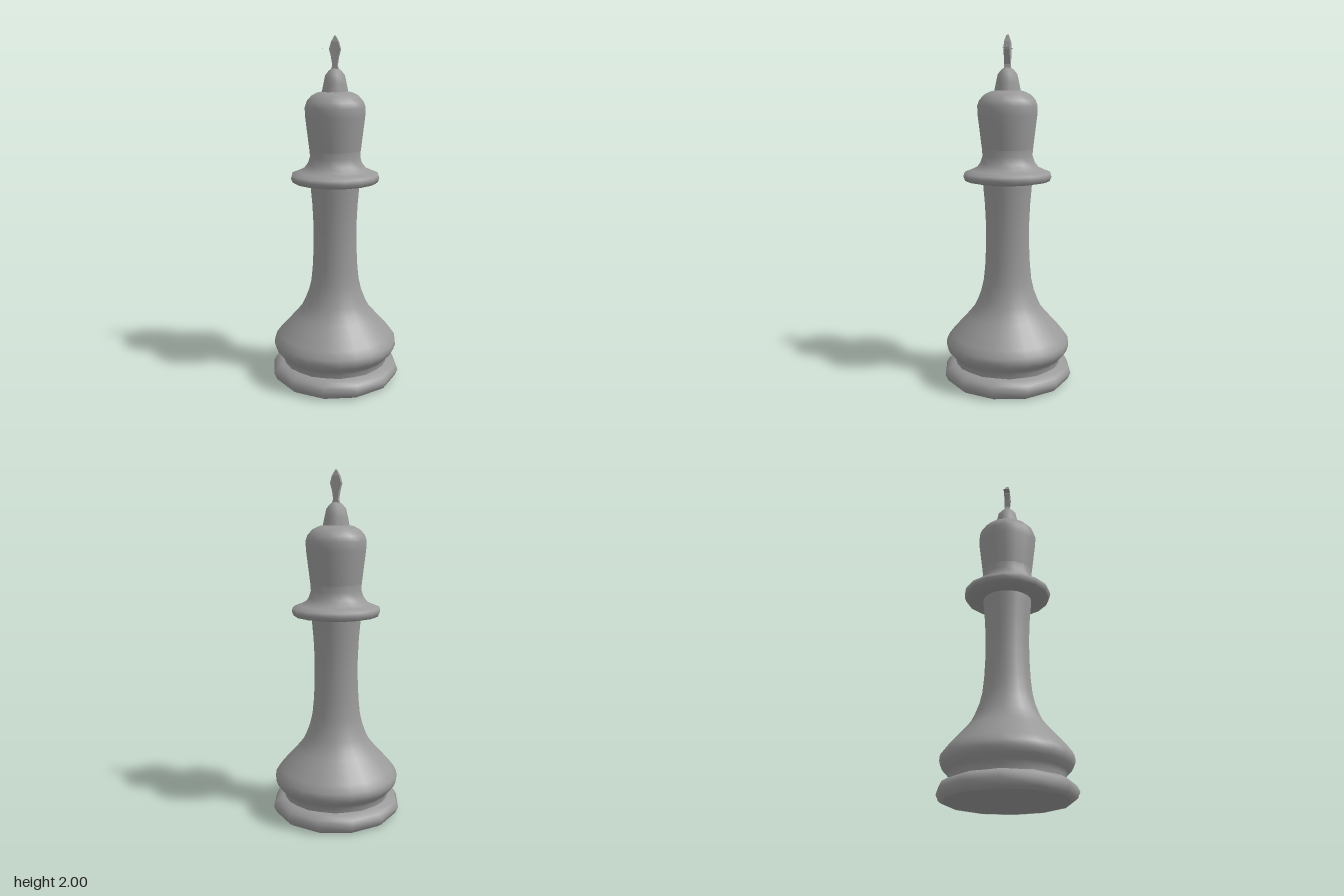
import * as THREE from 'three';

const material = new THREE.MeshStandardMaterial({ color: 0x999999, side: THREE.DoubleSide });

// Turned part from [radius, height] pairs; phase rotates the facets
function turned(name, profile, sides, phase = 0) {
  const points = profile.map(([r, y]) => new THREE.Vector2(r, y));
  const mesh = new THREE.Mesh(new THREE.LatheGeometry(points, sides, phase, Math.PI * 2), material);
  mesh.name = name;
  return mesh;
}

export function createModel() {
  const model = new THREE.Group();
  model.name = 'chessKing';

  // Twelve-sided foot with a flat underside, corners on the axes
  model.add(turned('underside', [[0, 0.002], [0.345, 0.002]], 12));
  model.add(turned('foot', [
    [0.345, 0], [0.366, 0.015], [0.381, 0.05], [0.365, 0.082], [0.335, 0.1], [0.3, 0.112], [0.27, 0.116],
  ], 12));

  // Bell-shaped body flowing into the waisted column
  model.add(turned('bellAndColumn', [
    [0.308, 0.095], [0.31, 0.13], [0.325, 0.152], [0.352, 0.18], [0.363, 0.208], [0.36, 0.24],
    [0.33, 0.28], [0.272, 0.345], [0.232, 0.39], [0.2, 0.43], [0.178, 0.475], [0.155, 0.535],
    [0.14, 0.6], [0.131, 0.69], [0.126, 0.8], [0.125, 0.92], [0.131, 1.05], [0.139, 1.14], [0.142, 1.185],
  ], 24));

  // Collar sweeping up into the domed head
  model.add(turned('collar', [
    [0.12, 1.176], [0.19, 1.178], [0.244, 1.188], [0.255, 1.212], [0.25, 1.232], [0.21, 1.248],
    [0.18, 1.262], [0.158, 1.29], [0.145, 1.33], [0.148, 1.38],
  ], 16));
  model.add(turned('head', [
    [0.14, 1.32], [0.149, 1.38], [0.16, 1.47], [0.171, 1.56], [0.173, 1.61],
    [0.162, 1.642], [0.135, 1.672], [0.1, 1.69], [0.05, 1.7], [0, 1.702],
  ], 16));

  // Faceted knob under the finial
  model.add(turned('knob', [
    [0.077, 1.685], [0.066, 1.74], [0.056, 1.785], [0.036, 1.81], [0.015, 1.825], [0, 1.828],
  ], 8, Math.PI / 8));

  // Finial: a slim plate swelling below its tip
  const right = [[0.024, 1.8], [0.013, 1.84], [0.02, 1.885], [0.031, 1.925], [0.02, 1.965], [0.006, 1.992]];
  const left = right.map(([x, y]) => [-x, y]).reverse();
  const outline = new THREE.Shape([...right, [0, 2], ...left].map(([x, y]) => new THREE.Vector2(x, y)));
  const plate = new THREE.ExtrudeGeometry(outline, { depth: 0.034, bevelEnabled: false });
  plate.translate(0, 0, -0.017);
  // Thin the plate towards its tip
  const p = plate.attributes.position;
  for (let i = 0; i < p.count; i++) {
    const t = THREE.MathUtils.clamp((p.getY(i) - 1.96) / 0.04, 0, 1);
    p.setZ(i, p.getZ(i) * (1 - 0.6 * t));
  }
  plate.computeVertexNormals();
  const finial = new THREE.Mesh(plate, material);
  finial.name = 'finial';
  model.add(finial);

  // Paper-thin level cross arms
  const arms = new THREE.Mesh(new THREE.PlaneGeometry(0.15, 0.034), material);
  arms.name = 'crossArms';
  arms.rotation.x = -Math.PI / 2;
  arms.position.y = 1.93;
  model.add(arms);

  return model;
}
